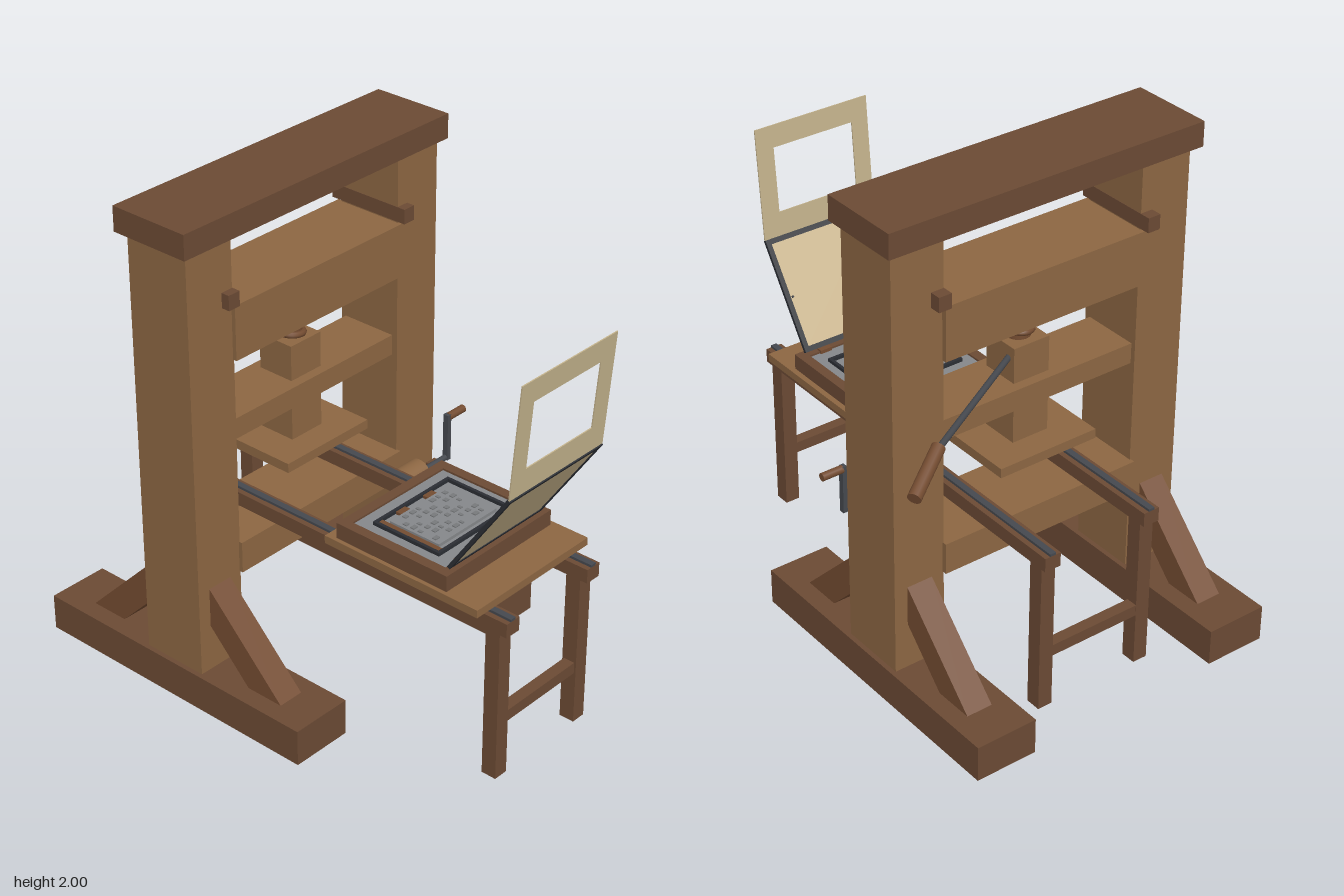
import * as THREE from 'three';

const mat = (name, color) => {
  const m = new THREE.MeshStandardMaterial({ color });
  m.name = name;
  return m;
};

export function createModel() {
  const oak = mat('oak', 0x8c6642);
  const walnut = mat('walnut', 0x6b4a34);
  const brace = mat('turned wood', 0x744c31);
  const steel = mat('steel', 0x45484e);
  const iron = mat('dark iron', 0x2b2e34);
  const stone = mat('bed stone', 0x85878a);
  const typeMetal = mat('type metal', 0x77797b);
  const parchment = mat('parchment', 0xc9b48c);
  const paper = mat('frisket paper', 0xc2b18b);
  paper.side = THREE.DoubleSide;

  const model = new THREE.Group();
  model.name = 'handPress';
  const CX = -0.07, CZ = -0.32; // centre of the press frame

  const add = (name, geo, m, parent = model) => {
    const mesh = new THREE.Mesh(geo, m);
    mesh.name = name;
    parent.add(mesh);
    return mesh;
  };
  // box given by its limits on each axis
  const box = (name, m, x0, x1, y0, y1, z0, z1, parent) => {
    const mesh = add(name, new THREE.BoxGeometry(x1 - x0, y1 - y0, z1 - z0), m, parent);
    mesh.position.set((x0 + x1) / 2, (y0 + y1) / 2, (z0 + z1) / 2);
    return mesh;
  };
  // round rod between two points
  const rod = (name, m, a, b, r, sides = 16) => {
    const p = new THREE.Vector3(...a), q = new THREE.Vector3(...b);
    const mesh = add(name, new THREE.CylinderGeometry(r, r, p.distanceTo(q), sides), m);
    mesh.position.copy(p).lerp(q, 0.5);
    mesh.quaternion.setFromUnitVectors(new THREE.Vector3(0, 1, 0), q.sub(p).normalize());
    return mesh;
  };
  // flat rectangular frame in the xy plane, standing on y = 0
  const frame = (w, h, border, depth) => {
    const s = new THREE.Shape([[-w / 2, 0], [w / 2, 0], [w / 2, h], [-w / 2, h]].map(p => new THREE.Vector2(...p)));
    const x = w / 2 - border;
    s.holes.push(new THREE.Path([[-x, border], [-x, h - border], [x, h - border], [x, border]].map(p => new THREE.Vector2(...p))));
    return new THREE.ExtrudeGeometry(s, { depth, bevelEnabled: false }).translate(0, 0, -depth / 2);
  };

  // main frame: feet, posts, braces, pegs
  for (const s of [-1, 1]) {
    const x = CX + s * 0.55;
    box('foot', walnut, x - 0.13, x + 0.13, 0, 0.15, -0.98, 0.335);
    box('post', oak, x - 0.11, x + 0.11, 0.15, 1.9, -0.46, -0.175);
    const px = CX + s * 0.465;
    box('peg', walnut, px - 0.027, px + 0.027, 1.635, 1.695, -0.505, -0.14);
    for (const d of [-1, 1]) {
      const pts = [[0.5, 0.15], [0.335, 0.15], [0.142, 0.345], [0.142, 0.51]];
      const shape = new THREE.Shape(pts.map(([z, y]) => new THREE.Vector2(d * z, y)));
      const g = new THREE.ExtrudeGeometry(shape, { depth: 0.11, bevelEnabled: false });
      const b = add('brace', g.translate(0, 0, -0.055), brace);
      b.rotation.y = -Math.PI / 2;
      b.position.set(x, 0, CZ);
    }
  }
  box('cap', walnut, -0.76, 0.62, 1.9, 2, -0.495, -0.147);
  box('headBeam', oak, -0.515, 0.375, 1.41, 1.63, -0.48, -0.158);
  box('middleBeam', oak, -0.515, 0.375, 1.06, 1.145, -0.44, -0.2);
  box('lowerBeam', oak, -0.515, 0.375, 0.51, 0.64, -0.48, -0.158);

  // screw, spindle box and platen
  rod('screwNut', brace, [CX, 1.383, CZ], [CX, 1.413, CZ], 0.08, 24);
  rod('screwCore', brace, [CX, 1.28, CZ], [CX, 1.39, CZ], 0.047, 24);
  const helix = [];
  for (let i = 0; i <= 60; i++) {
    const a = i / 60 * Math.PI * 5;
    helix.push(new THREE.Vector3(CX + 0.05 * Math.cos(a), 1.29 + 0.1 * i / 60, CZ + 0.05 * Math.sin(a)));
  }
  add('screwThread', new THREE.TubeGeometry(new THREE.CatmullRomCurve3(helix), 120, 0.013, 8), brace);
  box('spindleBox', oak, CX - 0.08, CX + 0.08, 0.89, 1.29, CZ - 0.08, CZ + 0.08);
  box('platen', oak, CX - 0.22, CX + 0.22, 0.853, 0.892, -0.51, -0.13);
  box('platenFace', iron, CX - 0.2, CX + 0.2, 0.845, 0.853, -0.49, -0.15);

  // pull bar
  rod('pullBar', steel, [CX, 1.24, CZ], [0.575, 1.24, -0.695], 0.012);
  rod('pullHandle', brace, [0.56, 1.245, -0.685], [0.745, 1.172, -0.797], 0.026);

  // bed table: rails, runners, legs, stretchers
  for (const s of [-1, 1]) {
    const x = CX + s * 0.23;
    box('rail', walnut, x - 0.035, x + 0.035, 0.64, 0.698, -0.825, 0.957);
    box('runner', steel, x - 0.013, x + 0.013, 0.698, 0.708, -0.825, 0.957);
    for (const z of [0.892, -0.768]) box('leg', walnut, x - 0.031, x + 0.031, 0, 0.64, z - 0.032, z + 0.032);
  }
  for (const z of [0.892, -0.775]) box('stretcher', walnut, -0.27, 0.13, 0.22, 0.267, z - 0.024, z + 0.024);

  // carriage plank and coffin with the stone
  box('plank', oak, -0.385, 0.245, 0.708, 0.74, 0.14, 0.863);
  const coffin = add('coffin', frame(0.59, 0.525, 0.042, 0.065), walnut);
  coffin.rotation.x = Math.PI / 2;
  coffin.position.set(CX - 0.003, 0.7725, 0.183);
  box('stone', stone, -0.328, 0.188, 0.74, 0.797, 0.21, 0.68);

  // chase with the set type
  const chase = add('chase', frame(0.42, 0.315, 0.013, 0.014), iron);
  chase.rotation.x = Math.PI / 2;
  chase.position.set(CX, 0.804, 0.282);
  box('sideFurniture', brace, -0.268, -0.243, 0.797, 0.808, 0.297, 0.583);
  for (const x of [-0.145, 0.005]) box('quoin', brace, x - 0.025, x + 0.025, 0.797, 0.808, 0.297, 0.322);
  box('typeBlock', stone, -0.235, 0.09, 0.797, 0.81, 0.325, 0.558);
  for (let r = 0; r < 6; r++) for (let c = 0; c < 8; c++) {
    if ((r * 5 + c * 3) % 4 === 0) continue;
    const x = -0.222 + c * 0.037, z = 0.34 + r * 0.035;
    box('typeSort', typeMetal, x, x + 0.012 + 0.006 * ((r + c) % 3), 0.809, 0.814, z, z + 0.018);
  }

  // tympan leaning open, with the frisket hinged to its top
  const tympan = new THREE.Group();
  tympan.name = 'tympan';
  tympan.position.set(CX, 0.812, 0.682);
  tympan.rotation.x = 0.594;
  model.add(tympan);
  add('tympanFrame', frame(0.52, 0.465, 0.021, 0.014), iron, tympan);
  box('tympanSkin', parchment, -0.242, 0.242, 0.018, 0.447, -0.004, 0.004, tympan);
  for (const s of [-1, 1]) {
    box('tympanPoint', iron, s * 0.23 - 0.004, s * 0.23 + 0.004, 0.22, 0.228, -0.01, -0.003, tympan);
    box('hinge', brace, CX + s * 0.175 - 0.026, CX + s * 0.175 + 0.026, 0.797, 0.812, 0.658, 0.682);
  }
  const sheet = new THREE.Shape([[-0.26, 0], [0.26, 0], [0.26, 0.464], [-0.26, 0.464]].map(p => new THREE.Vector2(...p)));
  sheet.holes.push(new THREE.Path([[-0.185, 0.1], [-0.185, 0.372], [0.182, 0.372], [0.182, 0.1]].map(p => new THREE.Vector2(...p))));
  const frisket = add('frisket', new THREE.ExtrudeGeometry(sheet, { depth: 0.005, bevelEnabled: false }), paper);
  frisket.position.set(CX, 1.198, 0.94);
  frisket.rotation.x = 0.086;

  // winding drum, crank and its support
  const cy = 0.605, cz = -0.033;
  rod('drum', oak, [0.237, cy, cz], [0.347, cy, cz], 0.059, 28);
  rod('crankShaft', steel, [0.34, cy, cz], [0.52, cy, cz], 0.012);
  box('crankArm', steel, 0.5, 0.52, 0.595, 0.797, cz - 0.012, cz + 0.012);
  rod('crankHandle', brace, [0.515, 0.784, cz], [0.605, 0.784, cz], 0.016);
  box('crankSupport', walnut, 0.42, 0.47, 0.15, cy, -0.063, 0);

  return model;
}
